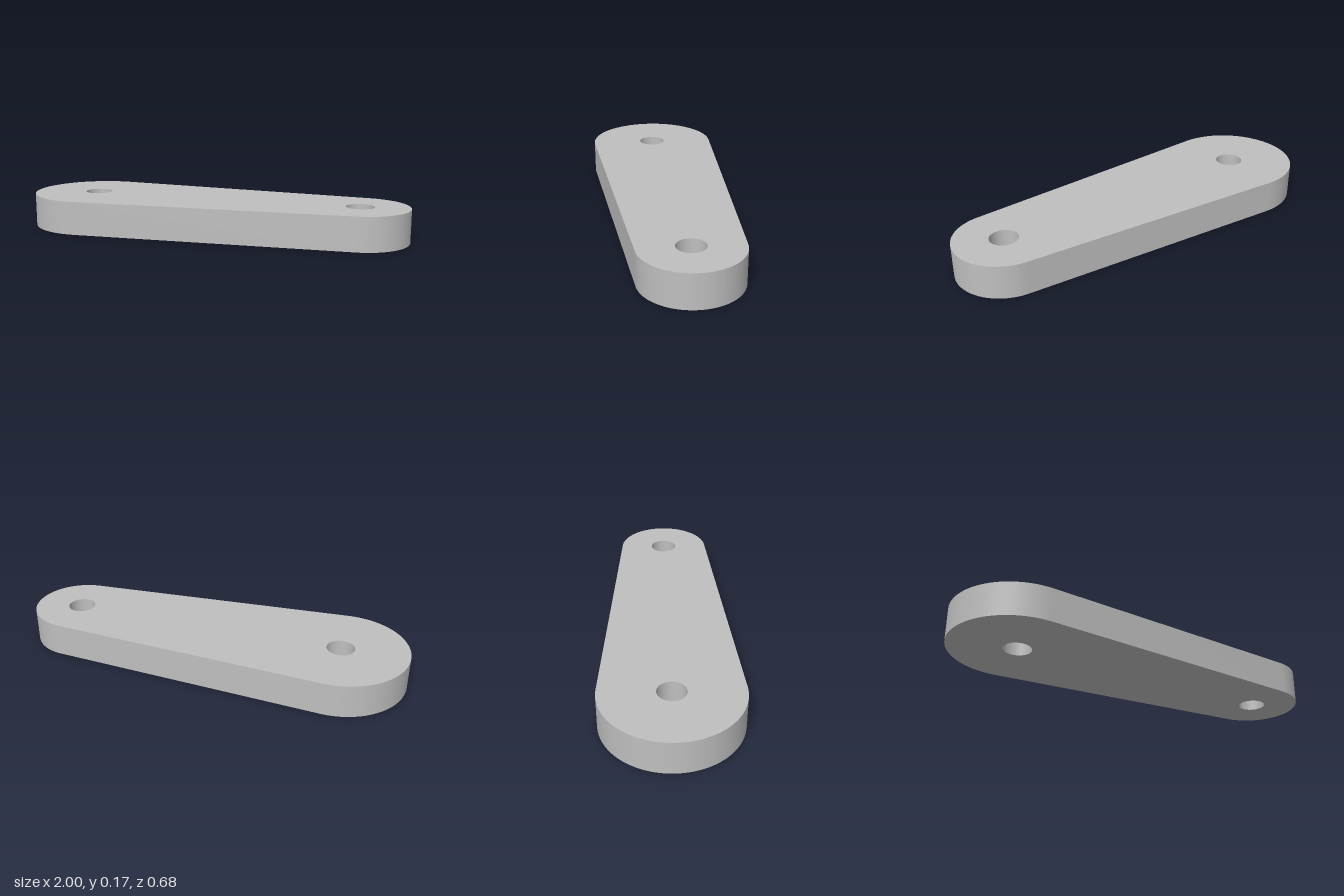
import * as THREE from 'three';
import { toCreasedNormals } from 'three/addons/utils/BufferGeometryUtils.js';

export function createModel() {
  const group = new THREE.Group();
  group.name = 'leverArm';

  const steel = new THREE.MeshStandardMaterial({ color: 0xbfbfbf });
  steel.name = 'grey steel';

  const thickness = 0.17;
  const holeRadius = 0.07;
  const big = { x: -0.66, r: 0.34 };
  const small = { x: 0.755, r: 0.245 };

  // Outline: two round ends joined by their common tangents
  const t = Math.acos((big.r - small.r) / (small.x - big.x));
  const outline = new THREE.Shape();
  outline.absarc(big.x, 0, big.r, t, 2 * Math.PI - t, false);
  outline.absarc(small.x, 0, small.r, -t, t, false);
  outline.closePath();

  // Pivot hole at the centre of each end
  for (const end of [big, small]) {
    const hole = new THREE.Path();
    hole.absarc(end.x, 0, holeRadius, 0, 2 * Math.PI, true);
    outline.holes.push(hole);
  }

  // Flat plate with sharp rims and smooth round walls
  const plate = new THREE.ExtrudeGeometry(outline, {
    depth: thickness, bevelEnabled: false, curveSegments: 40,
  });
  plate.rotateX(-Math.PI / 2);
  const arm = new THREE.Mesh(toCreasedNormals(plate, Math.PI / 6), steel);
  arm.name = 'armPlate';
  group.add(arm);

  return group;
}
